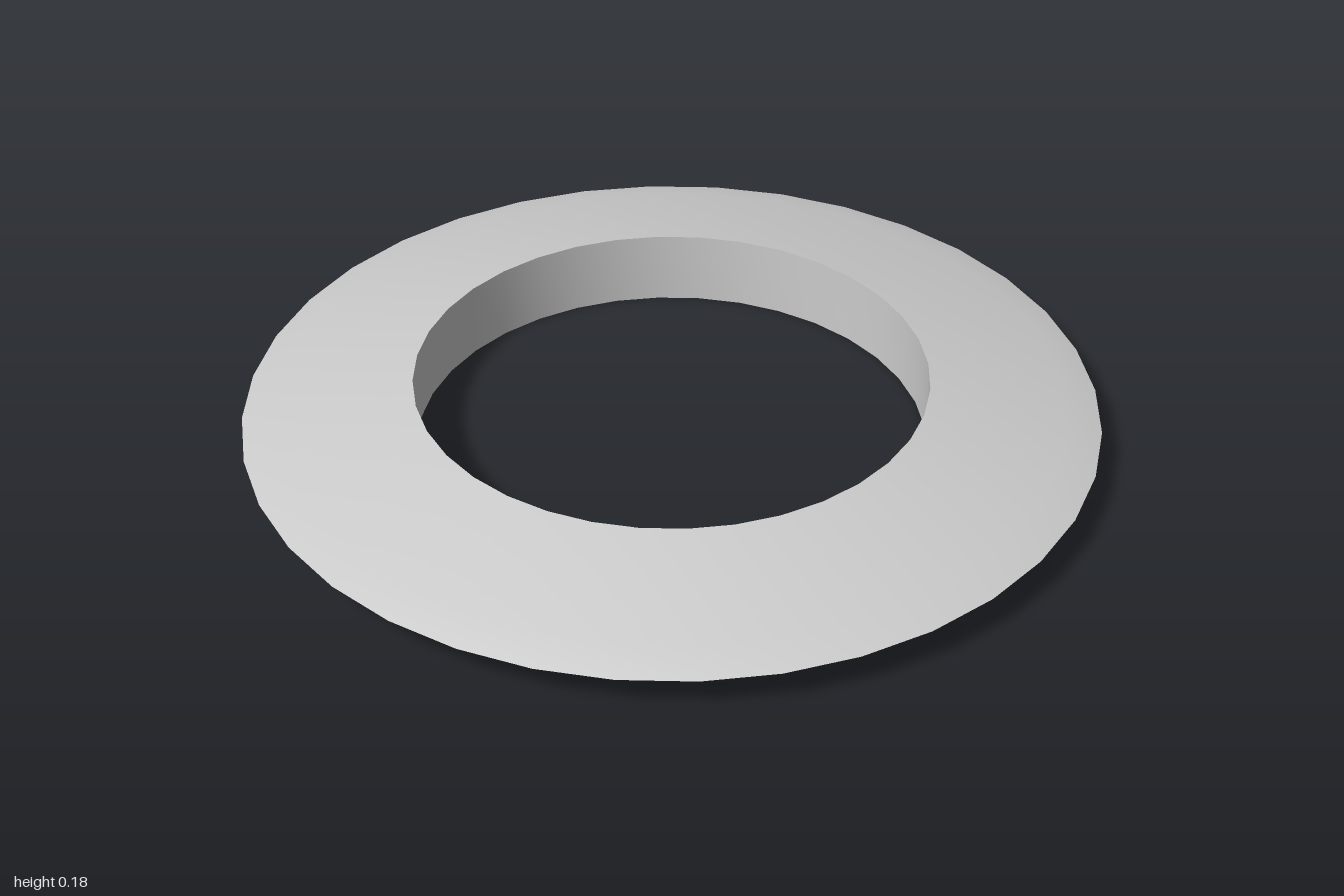
import * as THREE from 'three';
import { toCreasedNormals } from 'three/addons/utils/BufferGeometryUtils.js';

export function createModel() {
  const group = new THREE.Group();
  group.name = 'throwingRing';
  const material = new THREE.MeshStandardMaterial({ color: 0xcccccc });

  // Closed cross-section: bevelled blade outside, straight wall inside
  const profile = [
    [0.6, 0], [0.92, 0.063], [1, 0.09], [0.92, 0.117], [0.6, 0.18], [0.6, 0],
  ].map(([r, y]) => new THREE.Vector2(r, y));

  // Smooth faces, with sharp cutting edge and inner rims
  const geometry = toCreasedNormals(new THREE.LatheGeometry(profile, 36), Math.PI / 6);
  const ring = new THREE.Mesh(geometry, material);
  ring.name = 'ringBlade';
  group.add(ring);
  return group;
}
